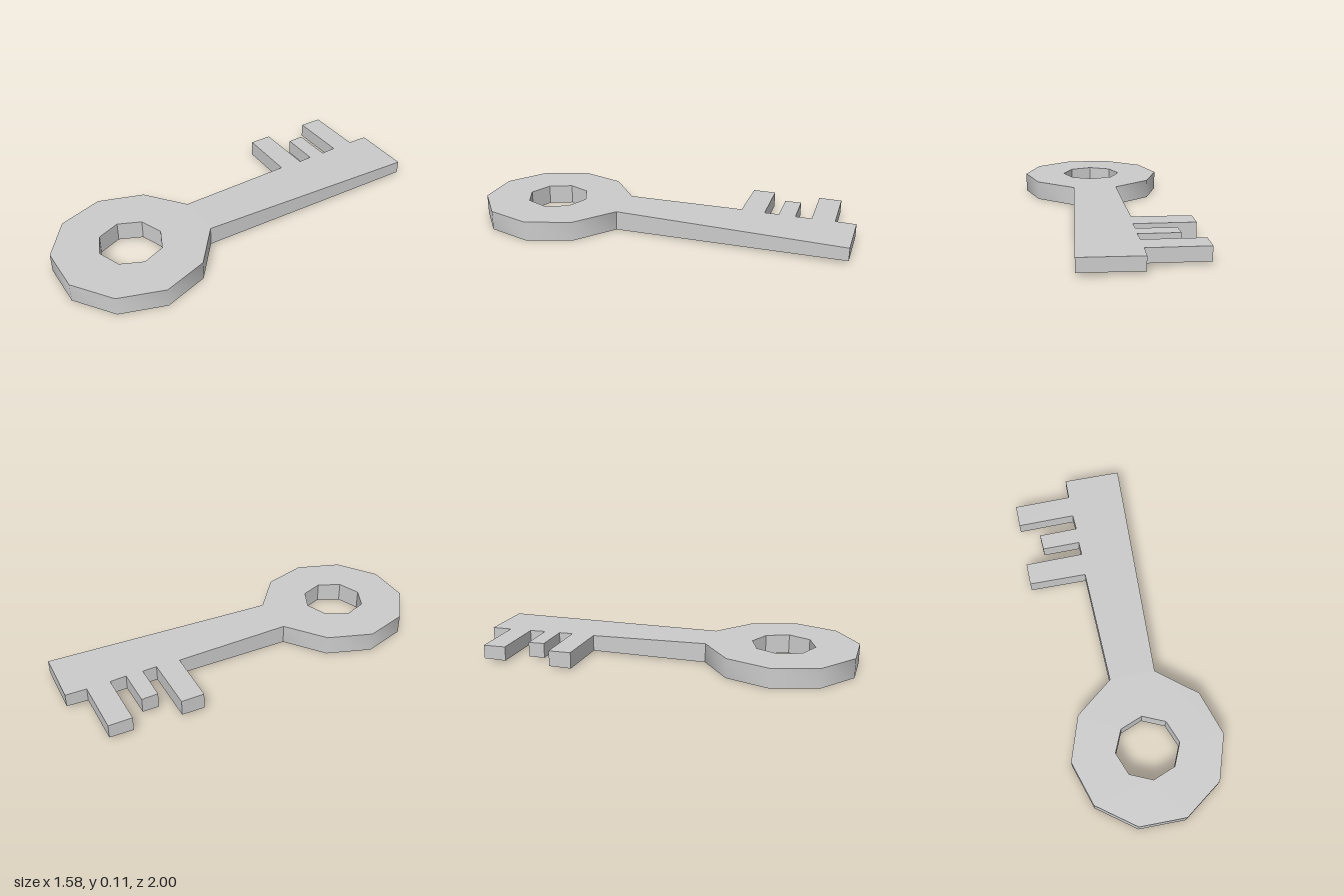
import * as THREE from 'three';
import { toCreasedNormals } from 'three/addons/utils/BufferGeometryUtils.js';

const THICKNESS = 0.11;
const TIP_INSET = 0.018;                          // how far each face draws in at the tip
const neck = new THREE.Vector2(-0.12, 0.25);      // where the shaft leaves the bow (x, z)
const axis = new THREE.Vector2(0.59, -0.81);      // direction of the shaft (x, z)
const shaftLength = 1.31;

// Outline points are [x, z] on the ground plane
const toShapePoints = (points) => points.map(([x, z]) => new THREE.Vector2(x, -z));

const polygon = (cx, cz, radius, sides, startDegrees) =>
  Array.from({ length: sides }, (_, i) => {
    const a = THREE.MathUtils.degToRad(startDegrees + (i * 360) / sides);
    return [cx + radius * Math.cos(a), cz + radius * Math.sin(a)];
  });

// Flat plate standing on y = 0; holes wind the opposite way to the outline
function plate(outline, holes = []) {
  const shape = new THREE.Shape(toShapePoints(outline));
  shape.holes = holes.map((hole) => new THREE.Path(toShapePoints(hole).reverse()));
  const geometry = new THREE.ExtrudeGeometry(shape, { depth: THICKNESS, bevelEnabled: false });
  return geometry.rotateX(-Math.PI / 2);
}

// Thin the plate evenly from the neck towards the tip
function taper(geometry) {
  const p = geometry.attributes.position;
  for (let i = 0; i < p.count; i++) {
    const along = (p.getX(i) - neck.x) * axis.x + (p.getZ(i) - neck.y) * axis.y;
    const inset = TIP_INSET * THREE.MathUtils.clamp(along / shaftLength, 0, 1);
    p.setY(i, p.getY(i) > THICKNESS / 2 ? THICKNESS - inset : inset);
  }
  geometry.computeVertexNormals();
  return geometry;
}

export function createModel() {
  const model = new THREE.Group();
  model.name = 'key';
  const material = new THREE.MeshStandardMaterial({ color: 0xcccccc });
  const add = (name, geometry) => {
    const mesh = new THREE.Mesh(geometry, material);
    mesh.name = name;
    model.add(mesh);
  };

  // Ten-sided bow with an eight-sided hole; two corners meet the shaft.
  // The outer rim is smooth, the hole keeps its sharp corners.
  const neckRight = [-0.015, 0.325];
  const neckLeft = [-0.225, 0.177];
  const bow = polygon(-0.365, 0.594, 0.425, 10, 0);
  bow[8] = neckLeft;
  bow[9] = neckRight;
  const hole = polygon(-0.365, 0.592, 0.178, 8, -98);
  add('bow', toCreasedNormals(plate(bow, [hole]), THREE.MathUtils.degToRad(42)));

  // Shaft with three teeth along one side
  add('shaftAndTeeth', taper(plate([
    neckRight,
    [0.788, -0.715], [0.522, -0.907], [0.453, -0.813],    // tip
    [0.184, -1.0], [0.109, -0.893], [0.379, -0.706],      // outer tooth
    [0.33, -0.628],
    [0.147, -0.754], [0.097, -0.676], [0.273, -0.552],    // short middle tooth
    [0.229, -0.484],
    [-0.045, -0.675], [-0.118, -0.569], [0.147, -0.377],  // inner tooth
    neckLeft,
  ])));

  return model;
}
